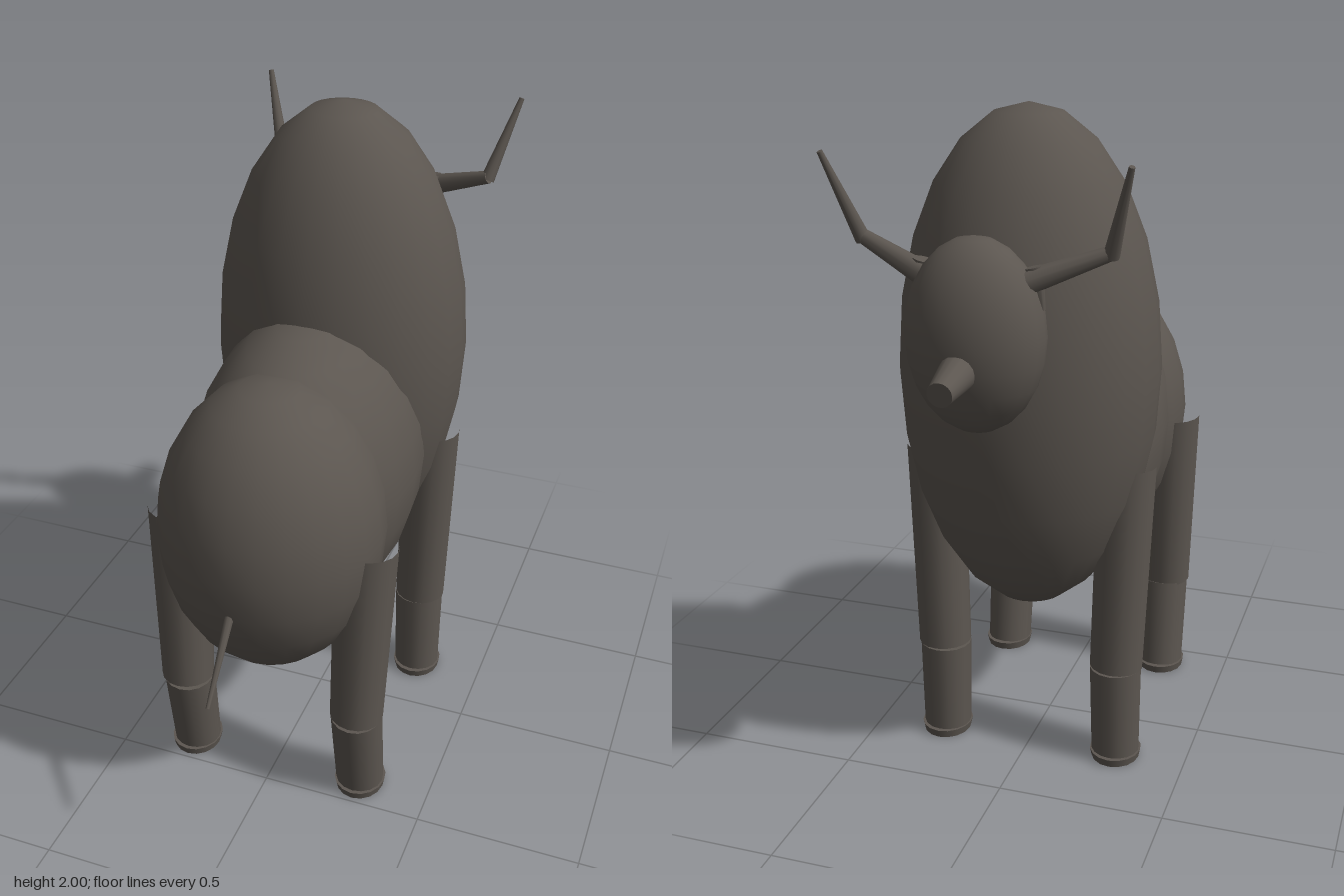
import * as THREE from 'three';

export function createModel() {
  const model = new THREE.Group();
  model.name = 'bull';
  const hide = new THREE.MeshStandardMaterial({ color: 0x5c5650 });
  hide.name = 'grey brown hide';

  const add = (name, geometry) => {
    const mesh = new THREE.Mesh(geometry, hide);
    mesh.name = name;
    model.add(mesh);
    return mesh;
  };

  // Ellipsoid from centre and radii
  const ellipsoid = (name, centre, radii) => {
    const mesh = add(name, new THREE.SphereGeometry(1, 24, 12));
    mesh.position.set(...centre);
    mesh.scale.set(...radii);
  };

  // Tapered limb running from point a (radius ra) to point b (radius rb)
  const limb = (name, a, b, ra, rb, open = false, sides = 16) => {
    const start = new THREE.Vector3(...a);
    const axis = new THREE.Vector3(...b).sub(start);
    const mesh = add(name, new THREE.CylinderGeometry(rb, ra, axis.length(), sides, 1, open));
    mesh.position.copy(start).addScaledVector(axis, 0.5);
    mesh.quaternion.setFromUnitVectors(new THREE.Vector3(0, 1, 0), axis.normalize());
  };

  // Body and head
  ellipsoid('shoulderHump', [0, 1.25, -0.19], [0.385, 0.75, 0.358]);
  ellipsoid('barrel', [0, 0.97, 0.1], [0.335, 0.48, 0.5]);
  ellipsoid('rump', [0, 0.935, 0.405], [0.332, 0.457, 0.34]);
  ellipsoid('head', [0, 1.455, -0.635], [0.19, 0.262, 0.152]);
  limb('muzzle', [0, 1.4, -0.72], [0, 1.372, -0.892], 0.057, 0.034);
  limb('tail', [0, 0.83, 0.72], [0, 0.63, 0.89], 0.014, 0.006, false, 8);

  for (const [side, s] of [['left', 1], ['right', -1]]) {
    // Horns bend upwards at an elbow
    limb(side + 'HornBase', [s * 0.13, 1.6, -0.63], [s * 0.345, 1.68, -0.56], 0.034, 0.02, false, 10);
    limb(side + 'HornTip', [s * 0.34, 1.67, -0.562], [s * 0.411, 1.91, -0.648], 0.022, 0.008, false, 10);
    limb(side + 'Ear', [s * 0.15, 1.64, -0.61], [s * 0.175, 1.53, -0.615], 0.03, 0.008, false, 10);

    // Front and hind legs: upper, lower, hoof
    const legs = [
      ['Front', 0.975, 0.3, -0.198, 0.087, -0.213, -0.212, -0.208],
      ['Hind', 0.93, 0.292, 0.415, 0.093, 0.447, 0.442, 0.403],
    ];
    for (const [end, topY, topX, topZ, topR, kneeZ, shinZ, footZ] of legs) {
      limb(side + end + 'UpperLeg', [s * 0.28, 0.32, kneeZ], [s * topX, topY, topZ], 0.081, topR, true);
      limb(side + end + 'LowerLeg', [s * 0.28, 0.02, footZ], [s * 0.278, 0.315, shinZ], 0.074, 0.079);
      const hoof = add(side + end + 'Hoof', new THREE.CylinderGeometry(0.079, 0.074, 0.025, 16));
      hoof.position.set(s * 0.281, 0.0155, footZ);
      hoof.scale.z = 1.12;
    }
  }
  return model;
}
